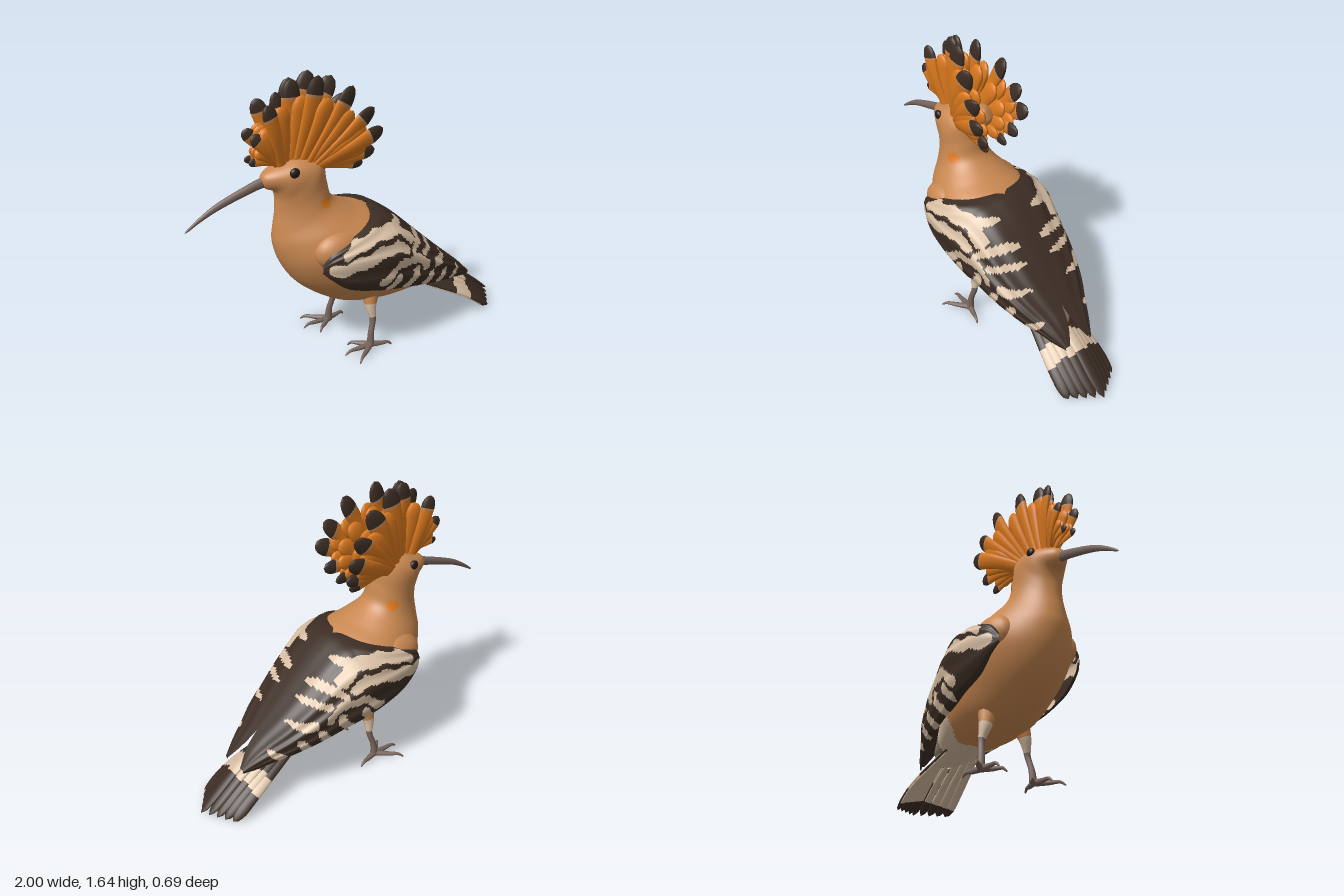
import * as THREE from 'three';

const paint = (name, color, side = THREE.FrontSide) => new THREE.MeshStandardMaterial({ name, color, side });
const M = {
  tan: paint('tan plumage', 0xc88750),
  orange: paint('orange crest', 0xdd7a1e),
  cream: paint('cream feather', 0xd8bfa4, THREE.DoubleSide),
  dark: paint('dark brown feather', 0x3c2d24, THREE.DoubleSide),
  horn: paint('horn grey', 0x77645b),
  rump: paint('grey rump', 0x8e7a6e),
  eye: paint('eye black', 0x211a16),
};

const V = (a) => new THREE.Vector3(...a);
const curve = (pts) => new THREE.CatmullRomCurve3(pts.map(V), false, 'catmullrom', 0.5);
const lerp = THREE.MathUtils.lerp;

// Surface from a point rule f(u, v); pick(u, centre) chooses each cell's material
function grid(name, nu, nv, f, pick, closed = true, flip = false) {
  const cols = closed ? nv : nv + 1, pos = [], pts = [], buckets = new Map();
  for (let i = 0; i <= nu; i++) for (let j = 0; j < cols; j++) {
    const p = f(i / nu, j / nv);
    pts.push(p);
    pos.push(p.x, p.y, p.z);
  }
  for (let i = 0; i < nu; i++) for (let j = 0; j < nv; j++) {
    const k = (j + 1) % cols;
    const a = i * cols + j, b = i * cols + k, c = a + cols, d = b + cols;
    const mid = pts[a].clone().add(pts[d]).multiplyScalar(0.5);
    const mat = pick((i + 0.5) / nu, mid);
    if (!buckets.has(mat)) buckets.set(mat, []);
    buckets.get(mat).push(...(flip ? [a, c, b, b, c, d] : [a, b, c, b, d, c]));
  }
  const geo = new THREE.BufferGeometry(), index = [], mats = [];
  for (const [mat, list] of buckets) {
    geo.addGroup(index.length, list.length, mats.length);
    mats.push(mat);
    for (const n of list) index.push(n);
  }
  geo.setIndex(index);
  geo.setAttribute('position', new THREE.Float32BufferAttribute(pos, 3));
  geo.computeVertexNormals();
  const mesh = new THREE.Mesh(geo, mats.length > 1 ? mats : mats[0]);
  mesh.name = name;
  return mesh;
}

// Tapered sweep along points; ref sets the flat axis, flat the thickness ratio
function sweep(name, pts, radius, pick, { ref = [0, 0, 1], flat = 1, nu = 16, nv = 12 } = {}) {
  const path = curve(pts), r = V(ref);
  return grid(name, nu, nv, (u, v) => {
    const t = path.getTangent(u), n = t.clone().cross(r).normalize(), b = t.clone().cross(n);
    const a = v * Math.PI * 2, w = radius(u);
    return path.getPoint(u).addScaledVector(n, w * Math.cos(a)).addScaledVector(b, w * flat * Math.sin(a));
  }, pick);
}

const leaf = (w, base) => (u) => w * (u < 0.78 ? lerp(base, 1, u / 0.78) : Math.sqrt(Math.max(0, 1 - ((u - 0.78) / 0.22) ** 2)));
const bands = (...list) => (u) => list.find(([end]) => u <= end)[1];
const point = (w, end = 0) => (u) => (u > 0.999 ? 0 : lerp(w, end, u));

function ball(name, mat, [x, y, z], [a, b, c]) {
  const m = new THREE.Mesh(new THREE.SphereGeometry(1, 24, 16), mat);
  m.name = name;
  m.position.set(x, y, z);
  m.scale.set(a, b, c);
  return m;
}

// Body: back and front outline points per section, with half width
const BODY = [
  [-0.575, 1.115, -0.575, 1.09, 0.01], [-0.55, 1.15, -0.545, 1.06, 0.05], [-0.47, 1.185, -0.505, 1.04, 0.09],
  [-0.36, 1.215, -0.49, 1.0, 0.118], [-0.23, 1.19, -0.49, 0.95, 0.13], [-0.2, 1.06, -0.495, 0.89, 0.135],
  [-0.17, 0.96, -0.507, 0.81, 0.16], [-0.06, 0.89, -0.51, 0.72, 0.225], [0.06, 0.845, -0.475, 0.6, 0.285],
  [0.17, 0.77, -0.4, 0.48, 0.295], [0.26, 0.67, -0.28, 0.375, 0.28], [0.33, 0.59, -0.13, 0.29, 0.26],
  [0.4, 0.52, 0.05, 0.255, 0.23], [0.48, 0.44, 0.2, 0.25, 0.185], [0.55, 0.37, 0.34, 0.25, 0.145],
  [0.61, 0.3, 0.45, 0.235, 0.11], [0.66, 0.24, 0.55, 0.22, 0.02],
];
function body() {
  const back = curve(BODY.map((s) => [s[0], s[1], s[4]])), front = curve(BODY.map((s) => [s[2], s[3], 0]));
  return grid('body', 120, 64, (u, v) => {
    const p = back.getPoint(u), q = front.getPoint(u), a = v * Math.PI * 2;
    const k = (1 + Math.cos(a)) / 2;
    return new THREE.Vector3(lerp(q.x, p.x, k), lerp(q.y, p.y, k), p.z * Math.sin(a) * (0.95 + 0.12 * Math.cos(a)));
  }, (u, p) => {
    if (Math.hypot(p.x + 0.25, (p.y - 0.96) * 1.3) < 0.034 && Math.abs(p.z) > 0.05) return M.orange;
    if (p.x > 0.45 && p.y > 0.27 - 0.5 * Math.max(0, p.x - 0.56)) return M.rump;
    return p.x > 0.24 + 0.03 * Math.sin(p.z * 40) ? M.cream : M.tan;
  });
}

// Wing stations: x, then y and z of the top edge, widest line and bottom edge
const WING = [
  [-0.35, 0.66, 0.25, 0.645, 0.26, 0.62, 0.25], [-0.3, 0.73, 0.265, 0.66, 0.3, 0.57, 0.265],
  [-0.2, 0.775, 0.245, 0.67, 0.33, 0.49, 0.265], [-0.05, 0.825, 0.17, 0.66, 0.342, 0.44, 0.265],
  [0.08, 0.85, 0, 0.63, 0.335, 0.405, 0.25], [0.2, 0.785, 0, 0.58, 0.305, 0.38, 0.24],
  [0.35, 0.65, 0, 0.49, 0.275, 0.345, 0.215], [0.5, 0.51, 0, 0.41, 0.225, 0.31, 0.18],
  [0.6, 0.42, 0, 0.35, 0.175, 0.285, 0.145], [0.69, 0.34, 0.02, 0.3, 0.13, 0.255, 0.11],
  [0.76, 0.265, 0.06, 0.255, 0.09, 0.24, 0.08],
];
// Cream strokes on the wing: half width, then x, y along the stroke
const STROKES = [
  [0.026, -0.23, 0.72, -0.1, 0.775, 0.04, 0.785, 0.14, 0.75, 0.21, 0.68],
  [0.037, -0.29, 0.635, -0.17, 0.655, -0.03, 0.69], [0.028, -0.03, 0.7, 0.07, 0.69, 0.15, 0.64],
  [0.022, 0.11, 0.765, 0.17, 0.8], [0.024, 0.21, 0.61, 0.26, 0.65, 0.3, 0.7], [0.022, 0.3, 0.575, 0.38, 0.61],
  [0.028, -0.01, 0.5, 0.08, 0.565, 0.2, 0.565, 0.3, 0.51], [0.028, 0.05, 0.45, 0.09, 0.48],
  [0.03, 0.17, 0.41, 0.23, 0.47], [0.027, 0.31, 0.37, 0.35, 0.43], [0.024, 0.43, 0.345, 0.47, 0.41],
  [0.022, 0.56, 0.32, 0.61, 0.36], [0.021, 0.39, 0.48, 0.48, 0.51],
];
function creamAt(p) {
  const y = p.y + 0.008 * Math.sin(p.x * 45), hit = new THREE.Vector3();
  const q = new THREE.Vector3(p.x, y + 0.25 * (0.2 - Math.abs(p.z)) * Math.max(0, Math.min(1, p.x * 5)) * (p.y > 0.5 ? 1 : 0), 0);
  return STROKES.some(([w, ...s]) => {
    for (let i = 0; i + 3 < s.length; i += 2) {
      new THREE.Line3(V([s[i], s[i + 1], 0]), V([s[i + 2], s[i + 3], 0])).closestPointToPoint(q, true, hit);
      if (hit.distanceTo(q) < w) return true;
    }
    return false;
  });
}
function wing(side) {
  const [top, mid, low] = [1, 3, 5].map((k) => curve(WING.map((s) => [s[0], s[k], s[k + 1]])));
  return grid(side > 0 ? 'leftWing' : 'rightWing', 130, 64, (u, v) => {
    const m = mid.getPoint(u), e = (v < 0.55 ? top : low).getPoint(u);
    const a = (v < 0.55 ? 1 - v / 0.55 : (v - 0.55) / 0.45) * Math.PI / 2;
    const k = Math.max(0, Math.cos(a)) ** 0.9, ez = Math.max(0, e.z);
    const ripple = 0.006 * Math.sin(v * 34 + u * 5) * Math.sin(Math.PI * u) * Math.sin(Math.PI * v);
    return new THREE.Vector3(m.x, lerp(m.y, e.y, Math.sin(a) ** 0.9) + ripple, side * (lerp(ez, m.z, k) + ripple));
  }, (u, p) => (Math.abs(p.z) > 0.075 && creamAt(p) ? M.cream : M.dark), false, side < 0);
}

// Crest feather tips, one side: x, y, z, size
const CREST = [
  [-0.645, 1.23, 0.03, 0.45], [-0.63, 1.38, 0.055, 0.75], [-0.55, 1.53, 0.07, 0.9], [-0.385, 1.63, 0.015, 1.1],
  [-0.25, 1.64, 0.06, 1.1], [-0.08, 1.575, 0.115, 1.1], [0.03, 1.45, 0.14, 1], [0.08, 1.33, 0.15, 1],
  [0.06, 1.2, 0.1, 0.85], [0.01, 1.12, 0.06, 0.7],
];
function crest() {
  const g = new THREE.Group();
  g.name = 'crest';
  // a feather from the crown to its tip; len shortens it
  const plume = (name, [x, y, z, s], len, width, pick) => {
    const root = [-0.37 + 0.3 * (x + 0.25), 1.17 - 0.06 * (x + 0.25), z * 0.5];
    const at = (k, bow, lift) => [lerp(root[0], x, k), lerp(root[1], y, k) + lift, z * bow];
    g.add(sweep(name, [root, at(len / 2, 0.93, 0.008), at(len, 1, 0)], leaf(width * s, 0.6), pick,
      { ref: [z * 3, 0, 1], flat: 0.4, nu: 28 }));
  };
  const tipped = bands([0.75, M.orange], [0.79, M.tan], [1, M.dark]);
  for (const side of [1, -1]) CREST.forEach(([x, y, z, s], i) => {
    plume('crestFeather', [x, y, z * side, s], 1, 0.05, tipped);
    if (!i) return;
    // orange plumes between neighbouring feathers
    const [px, py, pz, ps] = CREST[i - 1];
    for (const [k, spread, len] of [[0.5, 0.9, 0.8], [0.5, 0.45, 0.78]]) {
      plume('innerPlume', [lerp(px, x, k), lerp(py, y, k), lerp(pz, z, k) * spread * side, (s + ps) / 2], len, 0.05, () => M.orange);
    }
  });
  plume('crestFeather', [-0.47, 1.57, 0, 0.8], 1, 0.05, tipped);
  g.add(sweep('nape', [[-0.32, 1.12, 0], [-0.19, 1.2, 0], [-0.1, 1.3, 0]], leaf(0.065, 1), () => M.tan));
  return g;
}

// Tail: arched fan of banded feathers with pale ones beneath
function tail() {
  const g = new THREE.Group();
  g.name = 'tail';
  for (let i = -4; i <= 4; i++) {
    const d = Math.abs(i), y = 0.25 - 0.026 * d;
    const line = (dy, k) => [[0.42, 0.35 - 0.016 * d + dy, i * 0.022], [0.7, y + dy, i * 0.037],
      [lerp(0.7, 0.995 - 0.028 * d, k), lerp(y, 0.024 - 0.002 * d, k) + dy, i * 0.04]];
    const start = 0.42 - 0.01 * d;
    g.add(sweep('tailFeather', line(0, 1), leaf(0.034, 0.8),
      bands([start, M.dark], [start + 0.2, M.cream], [1, M.dark]), { ref: [0, 1, i * 0.13], flat: 0.4, nu: 24 }));
    g.add(sweep('underTailFeather', line(-0.012, 0.9), leaf(0.029, 0.8),
      bands([0.85, M.cream], [1, M.dark]), { ref: [0, 1, i * 0.13], flat: 0.3, nu: 20 }));
  }
  return g;
}

// Leg with thigh, shank and four toes
function leg(side) {
  const g = new THREE.Group(), fx = side > 0 ? -0.01 : -0.085, fz = side * 0.19;
  g.name = side > 0 ? 'leftLeg' : 'rightLeg';
  const opt = { ref: [1, 0, 0] };
  g.add(sweep('thigh', [[fx + 0.04, 0.38, side * 0.12], [fx + 0.02, 0.28, side * 0.15], [fx + 0.025, 0.2, side * 0.17]],
    (u) => lerp(0.08, 0.02, Math.sqrt(u)), bands([0.5, M.tan], [1, M.cream]), opt));
  g.add(sweep('shank', [[fx + 0.02, 0.25, side * 0.16], [fx + 0.025, 0.18, side * 0.172], [fx + 0.005, 0.1, side * 0.184], [fx, 0.02, fz]],
    (u) => 0.024 - 0.007 * Math.sin(Math.PI * u), () => M.horn, opt));
  for (const [deg, len] of [[180, 0.17], [140, 0.18], [222, 0.14], [15, 0.13]]) {
    const c = Math.cos(deg * Math.PI / 180) * len, s = Math.sin(deg * Math.PI / 180) * len * side;
    g.add(sweep('toe', [[fx, 0.03, fz], [fx + c * 0.45, 0.026, fz + s * 0.45], [fx + c * 0.8, 0.026, fz + s * 0.8],
      [fx + c, 0.004, fz + s]], point(0.019, 0.004), () => M.horn, { ref: [0, 1, 0], nv: 10 }));
  }
  return g;
}

export function createModel() {
  const bird = new THREE.Group();
  bird.name = 'crestedBird';
  bird.add(body(), crest(), tail());
  bird.add(sweep('beak', [[-0.5, 1.105, 0], [-0.6, 1.088, 0], [-0.8, 1.022, 0], [-0.91, 0.968, 0], [-1, 0.91, 0]],
    point(0.034, 0.005), () => M.horn, { flat: 0.8, nu: 24 }));
  for (const side of [1, -1]) {
    bird.add(wing(side), leg(side));
    bird.add(ball('shoulder', M.tan, [-0.22, 0.71, side * 0.2], [0.15, 0.11, 0.09]));
    bird.add(ball('eye', M.eye, [-0.42, 1.155, side * 0.1], [0.028, 0.028, 0.018]));
  }
  return bird;
}
